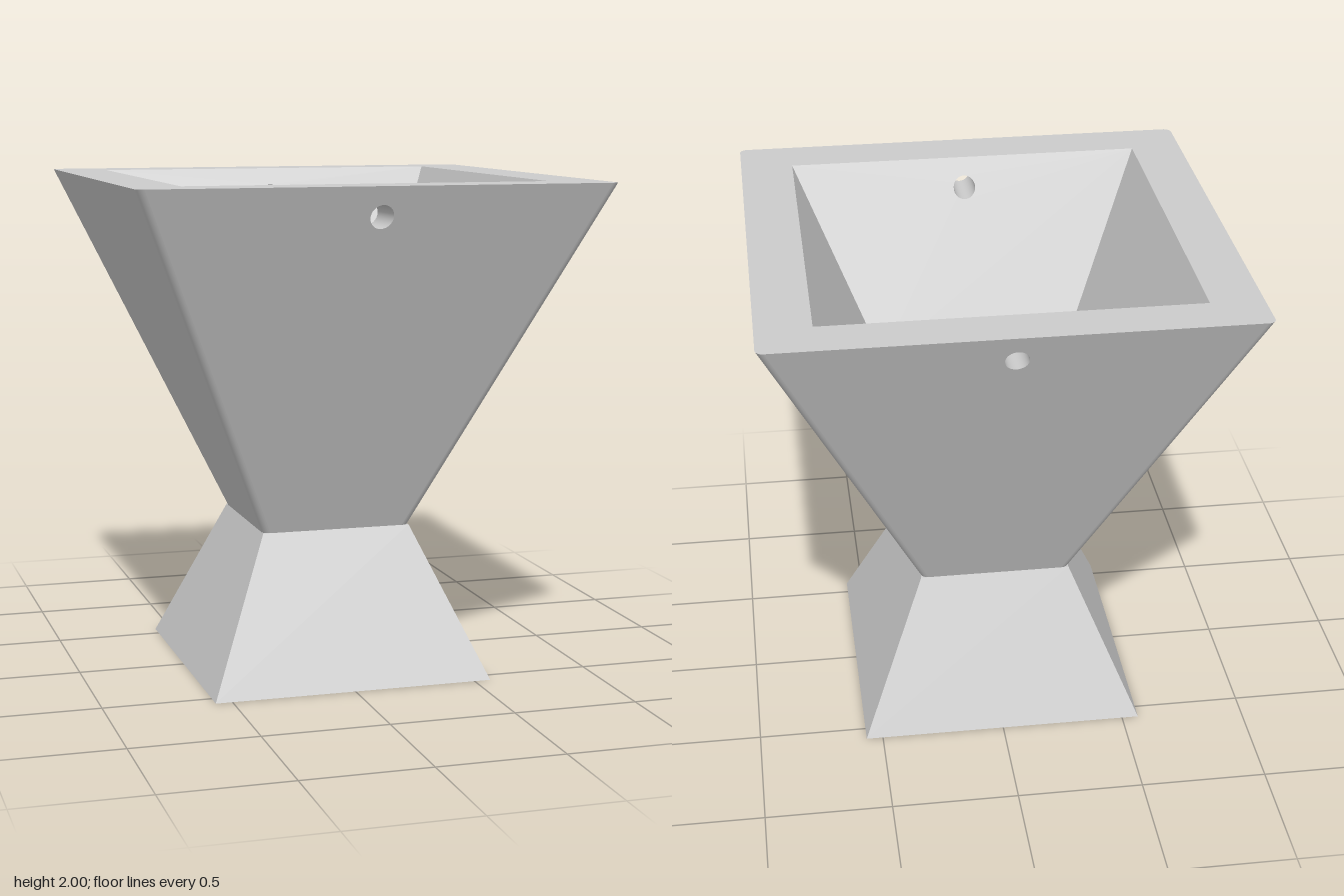
import * as THREE from 'three';

const TOP = 2, WAIST = 0.6, FLOOR = 1.25, R = 0.03;
const HOLE_Y = 1.885, HOLE_R = 0.045, DRAIN_R = 0.09;
const lerp = THREE.MathUtils.lerp;

// half width of the outer bowl, and edges of the cavity, at height y
const outer = (y) => lerp(0.305, 0.922, (y - WAIST) / (TOP - WAIST));
const cavity = (y) => {
  const t = (y - FLOOR) / (TOP - FLOOR);
  return {
    x0: lerp(-0.39, -0.72, t), x1: lerp(0.386, 0.712, t),
    z0: lerp(-0.398, -0.737, t), z1: lerp(0.394, 0.728, t),
  };
};

const polygon = (pts) => new THREE.Shape(pts.map(([x, y]) => new THREE.Vector2(x, y)));
const rect = (x0, x1, y0, y1) => polygon([[x0, y0], [x1, y0], [x1, y1], [x0, y1]]);
const circle = (x, y, r) => new THREE.Path().absarc(x, y, r, 0, Math.PI * 2, true);

function roundedSquare(h) {
  const s = new THREE.Shape(), c = h - R;
  [[c, c], [-c, c], [-c, -c], [c, -c]].forEach(([x, y], i) =>
    s.absarc(x, y, R, i * Math.PI / 2, (i + 1) * Math.PI / 2, false));
  return s;
}

// moves every vertex by a rule, optionally turning the faces over
function bend(geometry, rule, flip = false) {
  const p = geometry.attributes.position;
  for (let i = 0; i < p.count; i++) p.setXYZ(i, ...rule(p.getX(i), p.getY(i), p.getZ(i)));
  if (flip) geometry.index.array.reverse();
  geometry.computeVertexNormals();
  return geometry;
}

function shapeGeo(shape, hole) {
  if (hole) shape.holes.push(hole);
  return new THREE.ShapeGeometry(shape, 32);
}

export function createModel() {
  const model = new THREE.Group();
  const material = new THREE.MeshStandardMaterial({ color: 0xcccccc });
  const add = (name, geometry) => {
    const mesh = new THREE.Mesh(geometry, material);
    mesh.name = name;
    model.add(mesh);
    return mesh;
  };
  const sideHole = () => circle(0, HOLE_Y, HOLE_R);
  const flat = (name, y, shape, hole, down = false) => {
    const g = shapeGeo(shape, hole);
    add(name, bend(g, (x, v) => [x, y, -v], down));
  };

  // four outer bowl walls, rounded corners and base walls
  for (let i = 0; i < 4; i++) {
    const turn = i * Math.PI / 2;
    const a = outer(WAIST) - R, b = outer(TOP) - R;
    const wall = shapeGeo(polygon([[-a, WAIST], [a, WAIST], [b, TOP], [-b, TOP]]),
      i % 2 === 0 ? sideHole() : null);
    add('bowlWall', bend(wall, (x, y) => [x, y, outer(y)])).rotation.y = turn;

    const corner = bend(new THREE.PlaneGeometry(1, 1, 8, 1), (u, v) => {
      const y = lerp(WAIST, TOP, v + 0.5), c = outer(y) - R, t = (u + 0.5) * Math.PI / 2;
      return [c + R * Math.sin(t), y, c + R * Math.cos(t)];
    });
    add('bowlCorner', corner).rotation.y = turn;

    const w = 0.305, h = 0.567;
    const side = shapeGeo(polygon([[-h, 0], [h, 0], [w, WAIST], [-w, WAIST]]));
    add('baseWall', bend(side, (x, y) => [x, y, lerp(h, w, y / WAIST)])).rotation.y = turn;
  }

  // four inner walls of the cavity
  const f = cavity(FLOOR), t = cavity(TOP);
  const inner = (a, b, hole) => shapeGeo(
    polygon([[f[a], FLOOR], [f[b], FLOOR], [t[b], TOP], [t[a], TOP]]), hole);
  add('cavityBack', bend(inner('x0', 'x1', sideHole()), (x, y) => [x, y, cavity(y).z0]));
  add('cavityFront', bend(inner('x0', 'x1', sideHole()), (x, y) => [x, y, cavity(y).z1], true));
  add('cavityRight', bend(inner('z0', 'z1'), (z, y) => [cavity(y).x0, y, z], true));
  add('cavityLeft', bend(inner('z0', 'z1'), (z, y) => [cavity(y).x1, y, z]));

  // level faces: rim, cavity floor, waist ledge and underside
  flat('rim', TOP, roundedSquare(outer(TOP)), rect(t.x0, t.x1, -t.z1, -t.z0));
  flat('cavityFloor', FLOOR, rect(f.x0, f.x1, -f.z1, -f.z0), circle(0, 0, DRAIN_R));
  flat('waistLedge', WAIST, rect(-0.305, 0.305, -0.305, 0.305), roundedSquare(0.305));
  flat('underside', 0, rect(-0.567, 0.567, -0.567, 0.567), circle(0, 0, DRAIN_R), true);

  // drain running from the cavity floor down through the base
  const drain = new THREE.CylinderGeometry(DRAIN_R, DRAIN_R, FLOOR, 64, 1, true);
  add('drain', bend(drain, (x, y, z) => [x, y + FLOOR / 2, z], true));

  // cross holes through the front and back walls, trimmed to the slopes
  for (const front of [true, false]) {
    const bore = new THREE.CylinderGeometry(HOLE_R, HOLE_R, 1, 64, 1, true).rotateX(Math.PI / 2);
    add(front ? 'frontHole' : 'backHole', bend(bore, (x, v, z) => {
      const y = v + HOLE_Y, c = cavity(y);
      return [x, y, front ? (z > 0 ? outer(y) : c.z1) : (z > 0 ? c.z0 : -outer(y))];
    }, true));
  }
  return model;
}
